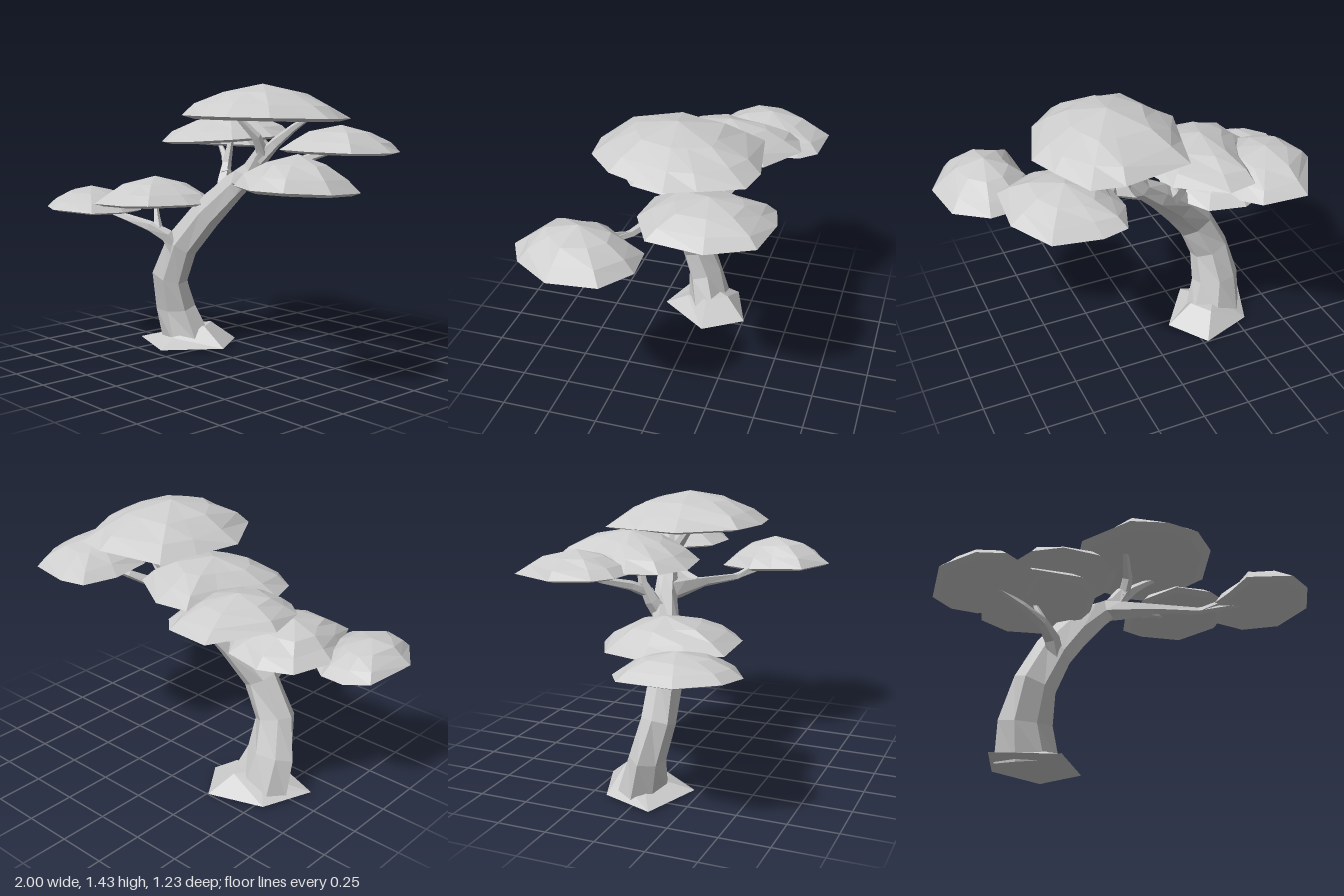
import * as THREE from 'three';

const grey = new THREE.MeshStandardMaterial({ color: 0xcccccc });
grey.name = 'plainGrey';

// Faceted skin over rings (listed bottom to top, clockwise from above), closed at both ends
function loft(name, rings, bottom, top) {
  const pos = [];
  const tri = (...pts) => pts.forEach((p) => pos.push(p.x, p.y, p.z));
  const n = rings[0].length;
  for (let i = 0; i < n; i++) {
    const j = (i + 1) % n;
    for (let k = 0; k + 1 < rings.length; k++) {
      const lo = rings[k], hi = rings[k + 1];
      tri(lo[i], hi[i], hi[j]);
      tri(lo[i], hi[j], lo[j]);
    }
    const last = rings[rings.length - 1];
    tri(bottom, rings[0][i], rings[0][j]);
    tri(top, last[j], last[i]);
  }
  const geo = new THREE.BufferGeometry();
  geo.setAttribute('position', new THREE.Float32BufferAttribute(pos, 3));
  geo.computeVertexNormals();
  const mesh = new THREE.Mesh(geo, grey);
  mesh.name = name;
  return mesh;
}

// Tapering limb through points [x, y, z, radius, depth radius if different]
function limb(name, path, sides = 5) {
  const pts = path.map(([x, y, z]) => new THREE.Vector3(x, y, z));
  const up = new THREE.Vector3(0, 1, 0);
  const rings = pts.map((p, k) => {
    const a = pts[Math.max(k - 1, 0)], b = pts[Math.min(k + 1, pts.length - 1)];
    const q = new THREE.Quaternion().setFromUnitVectors(up, b.clone().sub(a).normalize());
    const [, , , rx, rz = rx] = path[k];
    return Array.from({ length: sides }, (_, i) => {
      const t = (i / sides) * Math.PI * 2 + 0.4;
      const wob = 1 + 0.07 * Math.sin(i * 2.3 + k * 1.7);
      return new THREE.Vector3(Math.cos(t) * rx * wob, 0, Math.sin(t) * rz * wob).applyQuaternion(q).add(p);
    });
  });
  return loft(name, rings, pts[0], pts[pts.length - 1]);
}

// Leaf pad: outline seen from above, peak [x, y, z], base height, tilts along x and z
function pad(name, outline, peak, base, tiltX, tiltZ) {
  const [px, py, pz] = peak;
  const cx = outline.reduce((s, p) => s + p[0], 0) / outline.length;
  const cz = outline.reduce((s, p) => s + p[1], 0) / outline.length;
  const floor = (x, z) => base + (x - cx) * tiltX + (z - cz) * tiltZ;
  const height = py - base;
  // [outline scale, height fraction, shift toward the peak]
  const profile = [[0.86, 0, 0], [1, 0.09, 0], [0.8, 0.42, 0.2], [0.5, 0.75, 0.6]];
  const rings = profile.map(([s, h, shift], k) => outline.map(([x, z], i) => {
    const wob = k > 1 ? 1 + 0.06 * Math.sin(i * 2.7 + k * 1.9 + px * 9) : 1;
    const vx = cx + (x - cx) * s * wob + (px - cx) * shift;
    const vz = cz + (z - cz) * s * wob + (pz - cz) * shift;
    return new THREE.Vector3(vx, floor(vx, vz) + height * h, vz);
  }));
  return loft(name, rings, new THREE.Vector3(cx, base, cz), new THREE.Vector3(px, py, pz));
}

export function createModel() {
  const tree = new THREE.Group();
  tree.name = 'windsweptTree';

  // Root flare spreading onto the ground
  const foot = [[-0.13, -0.05], [-0.33, 0.22], [-0.65, 0.11], [-0.55, -0.16], [-0.27, -0.26]];
  const collarHeight = [0.1, 0.04, 0.03, 0.05, 0.1];
  const flare = [
    foot.map(([x, z]) => new THREE.Vector3(x, 0, z)),
    foot.map(([x, z], i) => new THREE.Vector3(-0.42 + (x + 0.42) * 0.52, collarHeight[i], -0.02 + (z + 0.02) * 0.52)),
  ];
  tree.add(loft('rootFlare', flare, new THREE.Vector3(-0.4, 0, -0.02), new THREE.Vector3(-0.42, 0.1, -0.02)));

  // Leaning trunk, slimmer from front to back
  tree.add(limb('trunk', [
    [-0.42, 0.02, -0.02, 0.16, 0.115], [-0.45, 0.2, 0.02, 0.13, 0.095], [-0.425, 0.38, 0.07, 0.115, 0.085],
    [-0.33, 0.57, 0.07, 0.105, 0.075], [-0.2, 0.74, 0.01, 0.09, 0.072], [-0.05, 0.89, -0.055, 0.072, 0.065],
    [0.06, 0.98, -0.09, 0.056, 0.052], [0.12, 1.08, -0.1, 0.04],
  ], 7));

  // Branches
  const branches = {
    crownBranchRight: [[0.1, 1.03, -0.09, 0.04], [0.18, 1.12, -0.13, 0.03], [0.28, 1.2, -0.16, 0.02], [0.37, 1.26, -0.19, 0.01]],
    crownBranchLeft: [[0.12, 1.06, -0.1, 0.036], [0.125, 1.15, -0.05, 0.028], [0.07, 1.27, 0.05, 0.014]],
    rightBranch: [[0.0, 0.93, -0.06, 0.06], [0.08, 0.93, -0.02, 0.05], [0.24, 0.935, 0.05, 0.028], [0.45, 0.925, 0.14, 0.02],
      [0.58, 0.945, 0.21, 0.016], [0.75, 0.97, 0.29, 0.008]],
    rightTwig: [[0.46, 0.925, 0.15, 0.018], [0.54, 0.96, 0.2, 0.014], [0.6, 0.99, 0.23, 0.006]],
    backRightBranch: [[0.17, 0.935, 0.02, 0.036], [0.23, 0.98, -0.1, 0.03],
      [0.32, 1.045, -0.21, 0.022], [0.5, 1.11, -0.32, 0.008]],
    upperLeftBranch: [[-0.11, 0.81, -0.03, 0.05], [-0.16, 0.91, -0.08, 0.038], [-0.18, 1.0, -0.12, 0.026], [-0.175, 1.14, -0.15, 0.014]],
    backLeftBranch: [[-0.15, 0.94, -0.09, 0.03], [-0.23, 0.99, -0.16, 0.025], [-0.36, 1.035, -0.26, 0.018], [-0.52, 1.11, -0.35, 0.008]],
    lowerLeftBranch: [[-0.33, 0.52, 0.09, 0.05], [-0.37, 0.61, 0.14, 0.04], [-0.44, 0.66, 0.2, 0.03],
      [-0.56, 0.7, 0.26, 0.02], [-0.72, 0.74, 0.32, 0.008]],
    lowerTwig: [[-0.4, 0.63, 0.17, 0.026], [-0.43, 0.7, 0.16, 0.02], [-0.47, 0.8, 0.14, 0.01]],
  };
  for (const [name, path] of Object.entries(branches)) tree.add(limb(name, path));

  // Leaf pads
  tree.add(
    pad('crownPad', [[-0.07, -0.38], [0.28, -0.44], [0.44, -0.41], [0.54, -0.21], [0.6, -0.07], [0.5, 0.22],
      [0.35, 0.36], [0.17, 0.38], [-0.02, 0.32], [-0.18, 0.05], [-0.12, -0.18]], [0.2, 1.42, -0.02], 1.24, 0, 0.03),
    pad('upperLeftPad', [[-0.35, -0.5], [-0.2, -0.54], [0.03, -0.4], [0.09, -0.2], [0.03, 0.03], [-0.12, 0.16],
      [-0.33, 0.18], [-0.47, 0.09], [-0.52, -0.06], [-0.45, -0.18], [-0.4, -0.34]], [-0.22, 1.27, -0.17], 1.115, 0.05, -0.03),
    pad('backLeftPad', [[-0.57, -0.62], [-0.34, -0.6], [-0.26, -0.52], [-0.22, -0.33], [-0.32, -0.14],
      [-0.47, -0.05], [-0.61, -0.07], [-0.7, -0.14], [-0.74, -0.34]], [-0.5, 1.21, -0.32], 1.08, -0.03, 0.05),
    pad('backRightPad', [[0.31, -0.53], [0.44, -0.56], [0.67, -0.52], [0.79, -0.31], [0.77, -0.04],
      [0.58, 0.06], [0.38, 0.04], [0.27, -0.15], [0.25, -0.36]], [0.51, 1.22, -0.26], 1.08, 0, 0.04),
    pad('frontRightPad', [[0.63, 0.01], [0.8, 0], [0.96, 0.11], [1, 0.34], [0.89, 0.52], [0.76, 0.59],
      [0.55, 0.49], [0.54, 0.32], [0.52, 0.2]], [0.74, 1.115, 0.28], 0.945, -0.02, 0.055),
    pad('lowerMiddlePad', [[-0.66, -0.1], [-0.5, -0.18], [-0.3, -0.15], [-0.19, 0], [-0.17, 0.15], [-0.22, 0.38],
      [-0.33, 0.46], [-0.58, 0.46], [-0.65, 0.3], [-0.73, 0.12]], [-0.48, 0.925, 0.13], 0.77, 0.04, 0.035),
    pad('lowerLeftPad', [[-0.96, 0.1], [-0.85, 0.03], [-0.72, 0.04], [-0.6, 0.14], [-0.54, 0.3], [-0.55, 0.5],
      [-0.75, 0.61], [-0.88, 0.56], [-1, 0.38]], [-0.81, 0.86, 0.32], 0.73, -0.04, 0.045),
  );
  return tree;
}
